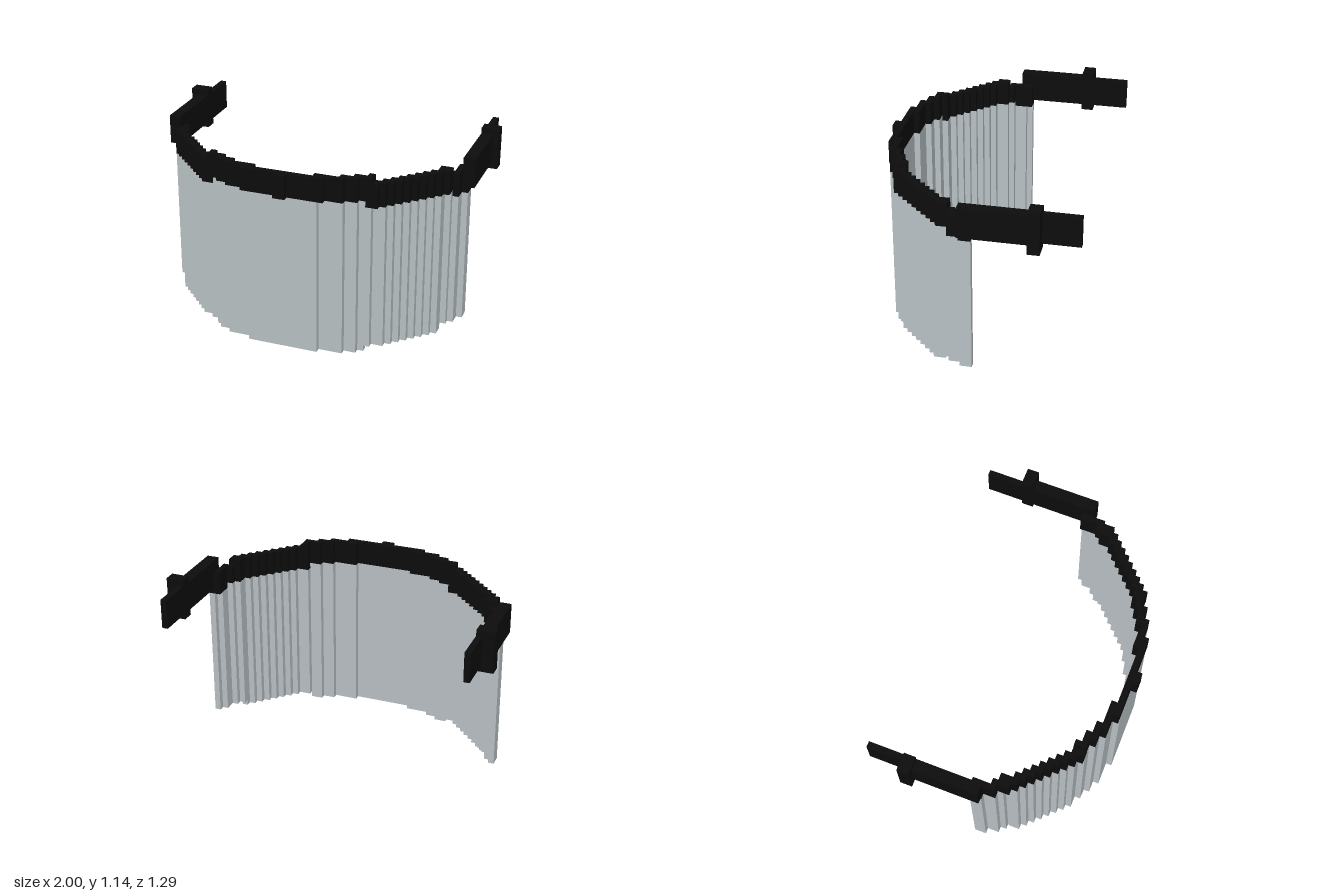
import * as THREE from 'three';

const U = 1 / 28; // one block of the stepped grid

export function createModel() {
  const model = new THREE.Group();
  model.name = 'faceShield';

  const black = new THREE.MeshStandardMaterial({ color: 0x0d0d0d });
  black.name = 'black band';
  const grey = new THREE.MeshStandardMaterial({ color: 0xbcc4c7 });
  grey.name = 'pale grey visor';

  // box from block limits
  function block(parent, name, material, x0, x1, y0, y1, z0, z1) {
    const geo = new THREE.BoxGeometry((x1 - x0) * U, (y1 - y0) * U, (z1 - z0) * U);
    const mesh = new THREE.Mesh(geo, material);
    mesh.position.set((x0 + x1) / 2 * U, (y0 + y1) / 2 * U, (z0 + z1) / 2 * U);
    mesh.name = name;
    parent.add(mesh);
  }
  function pair(parent, name, material, x0, x1, ...rest) {
    block(parent, name + 'Left', material, x0, x1, ...rest);
    block(parent, name + 'Right', material, -x1, -x0, ...rest);
  }

  const visor = new THREE.Group();
  visor.name = 'visor';
  const band = new THREE.Group();
  band.name = 'headBand';
  const temples = new THREE.Group();
  temples.name = 'temples';
  model.add(visor, band, temples);

  // front centre
  block(visor, 'visorCentre', grey, -6, 6, 0, 27, 16, 17);
  block(band, 'bandCentre', black, -7, 7, 27, 31, 16, 17);
  block(band, 'bandNub', black, -1, 1, 27, 31, 17, 18);

  // stepped front rows: x0, visor x1, band x1, z0
  for (const [x0, xv, xb, z] of [[5, 10, 10, 15], [9, 12, 12, 14], [11, 13, 13, 13]]) {
    pair(visor, 'visorFront', grey, x0, xv, 0, 27, z, z + 1);
    pair(band, 'bandFront', black, x0, xb, 27, 31, z, z + 1);
  }

  // corner where the curve drops by one block
  pair(visor, 'visorCorner', grey, 13, 14, 1, 26, 13, 14);
  pair(visor, 'visorCorner', grey, 13, 16, 1, 26, 12, 13);
  pair(band, 'bandCorner', black, 13, 14, 26, 31, 12, 14);
  pair(band, 'bandCorner', black, 14, 15, 26, 30, 13, 14);
  pair(band, 'bandCorner', black, 14, 16, 26, 30, 12, 13);

  // diagonal staircase
  for (let i = 0; i < 7; i++) {
    const x = 15 + i, z = 11 - i;
    pair(visor, 'visorStep', grey, x, x + 2, 1, 26, z, z + 1);
    pair(band, 'bandStep', black, x, x + 2, 26, 30, z, z + 1);
  }

  // visor sides
  pair(visor, 'visorSide', grey, 22, 23, 1, 26, 4, 5);
  pair(visor, 'visorSide', grey, 22, 23, 2, 26, 3, 4);
  pair(visor, 'visorSide', grey, 23, 24, 2, 26, 2, 4);
  pair(visor, 'visorSide', grey, 24, 25, 2, 25, 1, 3);
  pair(visor, 'visorEdge', grey, 25, 26, 2, 25, -1, 1);
  pair(visor, 'visorEdge', grey, 24, 25, 2, 25, 0, 1);

  // band sides
  pair(band, 'bandSide', black, 22, 24, 26, 30, 3, 5);
  pair(band, 'bandSide', black, 23, 24, 26, 29, 2, 3);
  pair(band, 'bandSide', black, 24, 25, 25, 29, -1, 3);
  pair(band, 'bandSide', black, 25, 26, 25, 26, -1, 1);

  // temples with hinge blocks
  pair(temples, 'templeFront', black, 25, 27, 26, 31, -10, 1);
  pair(temples, 'hinge', black, 25, 28, 25, 32, -12, -10);
  pair(temples, 'templeRear', black, 25, 26, 26, 31, -18, -12);

  return model;
}
